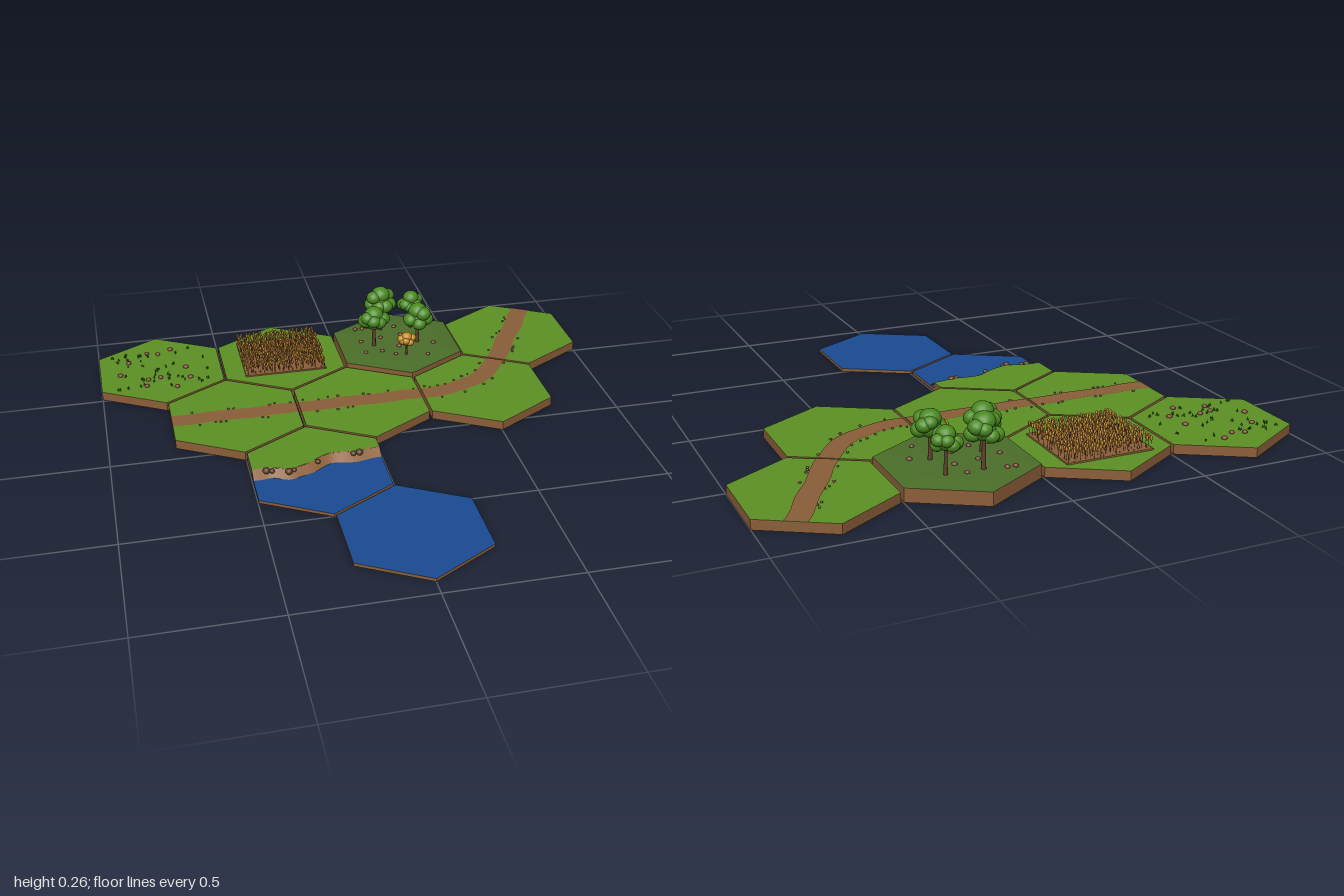
import * as THREE from 'three';
import { mergeGeometries } from 'three/addons/utils/BufferGeometryUtils.js';

const mat = (name, color, side = THREE.FrontSide) => {
  const m = new THREE.MeshStandardMaterial({ color, side });
  m.name = name;
  return m;
};

// small seeded generator
let seed = 7;
const rnd = (a = 0, b = 1) => {
  seed = (seed * 16807) % 2147483647;
  return a + (b - a) * (seed / 2147483647);
};

const R = 0.284, DX = 0.5028, DZ = 0.4355;
const LAND = 0.036, SEA = 0.012;

export function createModel() {
  const model = new THREE.Group();
  model.name = 'hexLandscape';
  const grass = mat('grass', 0x5c9124), forest = mat('forestFloor', 0x4b6f29);
  const water = mat('water', 0x194b92), dirt = mat('dirt', 0x8b5e38, THREE.DoubleSide);
  const under = mat('underside', 0x735036), leaf = mat('leaf', 0x4a8a20);
  const bark = mat('bark', 0x5e4028), gold = mat('gold', 0xc48a20);
  const wheat = mat('wheat', 0x9c6a2c), stone = mat('stone', 0x804a3c);

  const add = (name, geo, material, parent = model) => {
    const m = new THREE.Mesh(geo, material);
    m.name = name;
    parent.add(m);
    return m;
  };
  // hexagonal prism with side, top and bottom faces
  const hex = (name, x, z, h, mats, y = 0, rTop = R) => {
    const g = new THREE.CylinderGeometry(rTop, R, h, 6).toNonIndexed();
    g.computeVertexNormals();
    add(name, g, mats).position.set(x, y + h / 2, z);
  };
  // copies of one small shape, merged: each place is [x, y, z, size, height, turn]
  const scatter = (name, proto, material, places, parent) => {
    const o = new THREE.Object3D();
    const geos = places.map(([x, y, z, s = 1, sy = s, turn = 0]) => {
      o.position.set(x, y, z);
      o.scale.set(s, sy, s);
      o.rotation.y = turn;
      o.updateMatrix();
      return proto.clone().applyMatrix4(o.matrix);
    });
    return add(name, mergeGeometries(geos), material, parent);
  };
  // strip between two rows of points, facing up
  const strip = (name, a, b, material) => {
    const pos = [], idx = [];
    a.forEach((p, i) => {
      pos.push(...p, ...b[i]);
      if (i) idx.push(2 * i - 2, 2 * i - 1, 2 * i, 2 * i, 2 * i - 1, 2 * i + 1);
    });
    const g = new THREE.BufferGeometry();
    g.setAttribute('position', new THREE.Float32BufferAttribute(pos, 3));
    g.setIndex(idx);
    g.computeVertexNormals();
    return add(name, g, material);
  };

  // tiles
  const landMats = [dirt, grass, under], seaMats = [dirt, water, under];
  hex('meadowTile', -1.5 * DX, -1.5 * DZ, LAND, landMats);
  hex('fieldTile', -0.5 * DX, -1.5 * DZ, LAND, landMats);
  hex('forestTile', 0.5 * DX, -1.5 * DZ, 0.05, [dirt, forest, under]);
  hex('forestMound', 0.5 * DX, -1.5 * DZ, 0.008, [forest, forest, forest], 0.05, 0.2);
  hex('roadTileEnd', 1.5 * DX, -1.5 * DZ, LAND, landMats);
  for (let i = -1; i <= 1; i++) hex('roadTile', i * DX, -0.5 * DZ, LAND, landMats);
  hex('shoreTile', -0.5 * DX, 0.5 * DZ, SEA, seaMats);
  hex('waterTile', 0, 1.5 * DZ, SEA, seaMats);

  // road, one ribbon per tile
  const v = (x, z) => new THREE.Vector3(x, LAND + 0.002, z);
  const zr = -0.5 * DZ;
  const roads = [
    new THREE.LineCurve3(v(-0.748, zr), v(-0.257, zr)),
    new THREE.LineCurve3(v(-0.246, zr), v(0.246, zr)),
    new THREE.QuadraticBezierCurve3(v(0.257, zr), v(DX, zr), v(0.626, -0.431)),
    new THREE.LineCurve3(v(0.631, -0.44), v(0.877, -0.866)),
  ];
  const pebbles = [];
  roads.forEach((curve) => {
    const a = [], b = [], n = 24;
    for (let i = 0; i <= n; i++) {
      const t = i / n, p = curve.getPoint(t), d = curve.getTangent(t);
      const sway = 0.003 * Math.sin(t * Math.PI * 4);
      const edge = (w) => [p.x - d.z * w, p.y, p.z + d.x * w];
      a.push(edge(sway - 0.038 - rnd(0, 0.002)));
      b.push(edge(sway + 0.038 + rnd(0, 0.002)));
      if (i > 0 && i < n && rnd() < 0.5) {
        const side = rnd() < 0.5 ? -1 : 1;
        const [x, y, z] = edge(sway + side * rnd(0.04, 0.055));
        pebbles.push([x, y, z, rnd(0.003, 0.006), 0.004]);
      }
    }
    strip('road', a, b, dirt);
  });
  const rock = new THREE.IcosahedronGeometry(1, 2);
  scatter('roadPebbles', rock, stone, pebbles);

  // meadow stones and upright grass tufts
  const stones = [[-0.88, -0.73], [-0.8, -0.8], [-0.755, -0.785], [-0.7, -0.82], [-0.92, -0.63], [-0.76, -0.58],
    [-0.65, -0.65], [-0.64, -0.56], [-0.82, -0.52], [-0.7, -0.49], [-0.81, -0.57]];
  scatter('meadowStones', rock, stone, stones.map(([x, z]) => [x, LAND + 0.003, z, rnd(0.009, 0.012), 0.008]));
  const blade = new THREE.ConeGeometry(0.004, 0.014, 2, 1, true);
  const tufts = [];
  for (let i = 0; i < 40; i++) {
    const x = -1.5 * DX + rnd(-0.19, 0.19), z = -1.5 * DZ + rnd(-0.17, 0.17);
    for (let k = 0; k < 3; k++) tufts.push([x + rnd(-0.005, 0.005), LAND + 0.006, z + rnd(-0.005, 0.005), 1, 1, rnd(0, 6)]);
  }
  scatter('grassTufts', blade, grass, tufts);

  // ploughed field with rows of wheat
  add('fieldSoil', new THREE.BoxGeometry(0.335, 0.008, 0.3), dirt).position.set(-0.25, LAND + 0.002, -0.66);
  const stems = [], heads = [[], []];
  for (let i = 0; i < 20; i++) for (let j = 0; j < 18; j++) {
    const x = -0.412 + i * 0.017 + rnd(-0.006, 0.006), z = -0.802 + j * 0.0167 + rnd(-0.006, 0.006);
    const h = rnd(0.033, 0.038);
    stems.push([x, 0.038 + h / 2, z, 1, h]);
    heads[rnd() < 0.5 ? 0 : 1].push([x, 0.04 + h + 0.004, z, 0.005, 0.01, rnd(0, 6)]);
  }
  scatter('wheatStems', new THREE.CylinderGeometry(0.0008, 0.0008, 1, 3, 1, true), wheat, stems);
  const ear = new THREE.SphereGeometry(1, 8, 6);
  scatter('wheatEarsGold', ear, gold, heads[0]);
  scatter('wheatEarsBrown', ear, wheat, heads[1]);

  // trees: x, z, crown centre height, crown radius, leaf colour
  const trees = [[0.207, -0.77, 0.203, 0.066, leaf], [0.34, -0.765, 0.182, 0.056, leaf], [0.147, -0.63, 0.182, 0.066, leaf],
    [0.335, -0.625, 0.182, 0.065, leaf], [0.262, -0.52, 0.128, 0.038, gold]];
  trees.forEach(([x, z, y, r, foliage]) => {
    const tree = new THREE.Group();
    tree.name = foliage === leaf ? 'tree' : 'goldenTree';
    tree.position.set(x, 0, z);
    model.add(tree);
    const h = y - 0.055;
    add('trunk', new THREE.CylinderGeometry(r * 0.08, r * 0.14, h, 8), bark, tree).position.y = 0.055 + h / 2;
    const crown = [[0, y + r * 0.32, 0, r * 0.6, r * 0.52], [0, y - r * 0.15, 0, r * 0.62, r * 0.55]];
    for (let k = 0; k < 8; k++) {
      const a = (k / 8) * Math.PI * 2 + rnd(0, 0.4), d = r * rnd(0.52, 0.62), s = r * rnd(0.4, 0.5);
      crown.push([Math.cos(a) * d, y + r * rnd(-0.4, 0.25), Math.sin(a) * d * 0.8, s, s * 0.9]);
    }
    scatter('crown', rock, foliage, crown, tree);
  });
  const litter = [[0.1, -0.79], [0.13, -0.79], [0.19, -0.69], [0.28, -0.7], [0.1, -0.67], [0.1, -0.57], [0.22, -0.53],
    [0.35, -0.5], [0.17, -0.57], [0.4, -0.6], [0.27, -0.78], [0.25, -0.6]];
  scatter('forestStones', rock, stone, litter.map(([x, z]) => [x, 0.059, z, rnd(0.008, 0.011), 0.008]));

  // shore: raised grass cut along a wavy line, with a sloping bank
  const hw = R * 0.866, cx = -0.5 * DX, cz = 0.5 * DZ;
  const line = new THREE.CatmullRomCurve3([[cx - hw, 0.195], [-0.43, 0.195], [-0.36, 0.215], [-0.29, 0.195], [-0.2, 0.145], [-0.1, 0.15], [cx + hw, 0.137]]
    .map(([x, z]) => new THREE.Vector3(x, LAND, z))).getPoints(36);
  const outline = [[cx + hw, cz - R / 2], [cx, cz - R], [cx - hw, cz - R / 2]].map(([x, z]) => new THREE.Vector2(x, -z));
  outline.push(...line.map((p) => new THREE.Vector2(p.x, -p.z)));
  const land = new THREE.ExtrudeGeometry(new THREE.Shape(outline), { depth: LAND - SEA, bevelEnabled: false });
  land.rotateX(-Math.PI / 2).translate(0, SEA, 0);
  add('shoreLand', land, [grass, dirt]);
  strip('shoreBank', line.map((p) => [p.x, LAND + 0.001, p.z - 0.002]),
    line.map((p, i) => [p.x, SEA + 0.001, p.z + 0.036 + 0.003 * Math.sin(i * 0.7)]), dirt);
  const shoreRocks = [[-0.445, 0.205, 0.014], [-0.425, 0.212, 0.01], [-0.365, 0.228, 0.014], [-0.345, 0.222, 0.009],
    [-0.25, 0.185, 0.01], [-0.11, 0.158, 0.011], [-0.087, 0.155, 0.014]];
  scatter('shoreRocks', rock, bark, shoreRocks.map(([x, z, s]) => [x, 0.033, z, s, s * 0.9]));

  return model;
}
